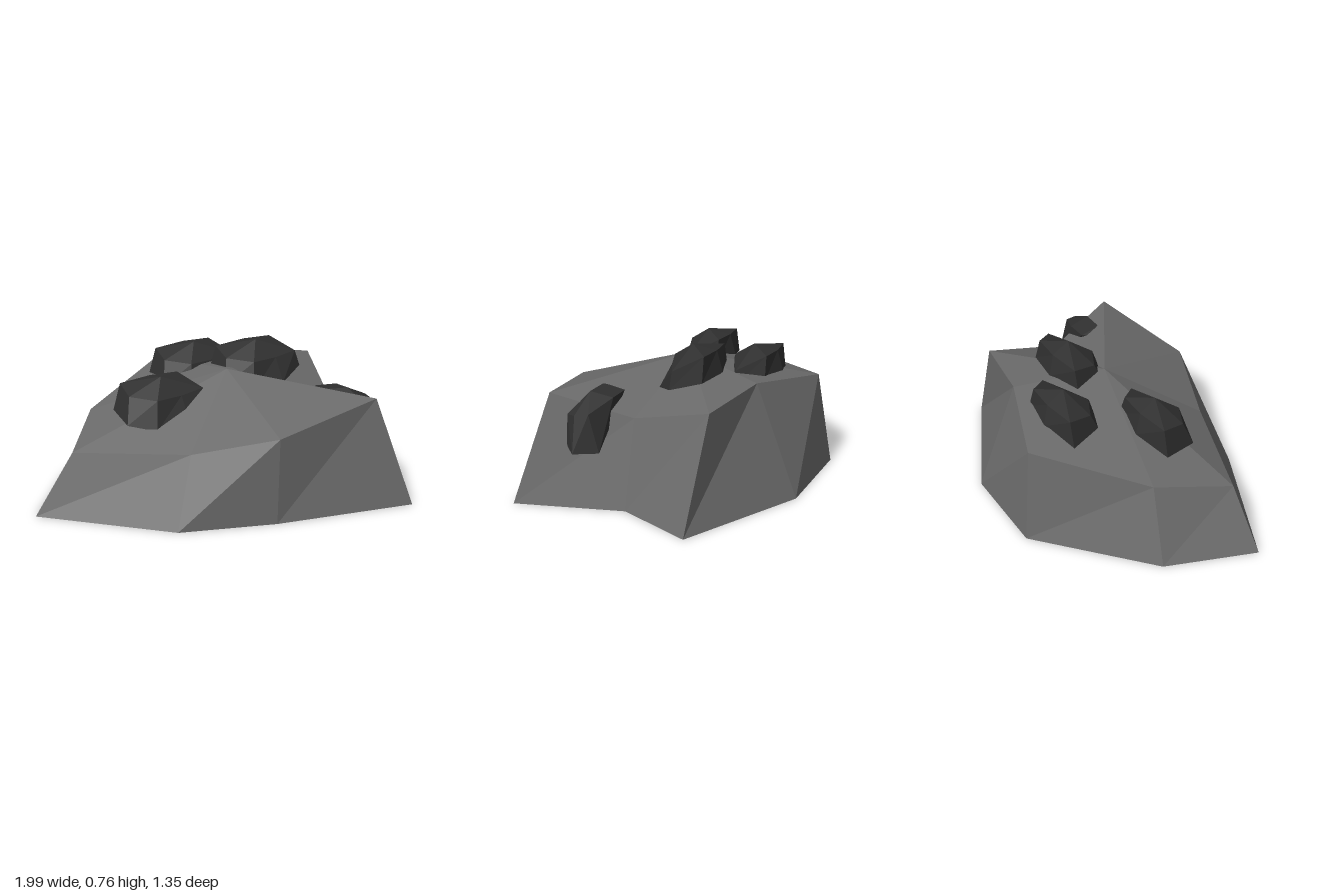
import * as THREE from 'three';
import { ConvexGeometry } from 'three/addons/geometries/ConvexGeometry.js';

const material = (color) => new THREE.MeshStandardMaterial({
  color, flatShading: true, roughness: 0.9, metalness: 0,
});

// Faceted stone: floor centre, lower ring, upper ring and peak, rings clockwise from above
function stoneGeometry(floor, lower, upper, peak) {
  const positions = [];
  const tri = (...corners) => corners.forEach((c) => positions.push(...c));
  lower.forEach((a, i) => {
    const j = (i + 1) % lower.length;
    const b = lower[j], c = upper[i], d = upper[j];
    tri(floor, a, b);
    tri(b, a, c);
    tri(b, c, d);
    tri(peak, d, c);
  });
  const geometry = new THREE.BufferGeometry();
  geometry.setAttribute('position', new THREE.Float32BufferAttribute(positions, 3));
  geometry.computeVertexNormals();
  return geometry;
}

function addMesh(group, name, geometry, mat) {
  const mesh = new THREE.Mesh(geometry, mat);
  mesh.name = name;
  group.add(mesh);
  return mesh;
}

export function createModel() {
  const model = new THREE.Group();
  model.name = 'rock';
  const rockMaterial = material(0x6a6a6a);
  const oreMaterial = material(0x303030);

  // Main boulder
  const foot = [
    [-1, 0.33], [-0.82, -0.16], [-0.26, -0.67], [0.27, -0.68], [0.92, -0.36],
    [0.8, 0.04], [0.99, 0.6], [0.22, 0.67], [-0.3, 0.66],
  ].map(([x, z]) => [x, 0, z]);
  const rim = [
    [-0.79, 0.33, 0.29], [-0.65, 0.405, -0.12], [-0.2, 0.525, -0.6],
    [0.26, 0.6, -0.44], [0.68, 0.575, -0.38], [0.67, 0.465, 0.05],
    [0.8, 0.575, 0.47], [0.23, 0.465, 0.65], [-0.2, 0.355, 0.5],
  ];
  addMesh(model, 'boulder', stoneGeometry([0, 0, 0], foot, rim, [0.09, 0.645, 0.04]), rockMaterial);

  // Ore lumps set into the top, each placed by its peak
  const lumpLower = [
    [-0.25, -0.2, -0.08], [-0.05, -0.15, -0.15], [0.15, -0.15, -0.13], [0.26, -0.17, 0],
    [0.13, -0.22, 0.13], [-0.05, -0.24, 0.18], [-0.2, -0.22, 0.12],
  ];
  const lumpUpper = [
    [-0.21, -0.05, -0.08], [-0.04, -0.03, -0.12], [0.11, -0.02, -0.12], [0.23, -0.08, 0],
    [0.1, -0.09, 0.07], [-0.04, -0.09, 0.13], [-0.18, -0.08, 0.06],
  ];
  const lump = stoneGeometry([0, -0.23, 0], lumpLower, lumpUpper, [0, 0, 0]);
  [[-0.29, 0.655, 0.12], [0.28, 0.765, -0.08], [-0.03, 0.705, -0.29]].forEach((p, i) => {
    addMesh(model, `oreLump${i + 1}`, lump, oreMaterial).position.set(...p);
  });

  // Ore lump breaking through the side edge
  const sideLump = [
    [0.53, 0.55, 0.24], [0.56, 0.56, 0.17], [0.68, 0.56, 0.165], [0.57, 0.58, 0.29],
    [0.7, 0.58, 0.29], [0.83, 0.51, 0.22], [0.85, 0.5, 0.29], [0.81, 0.48, 0.36],
    [0.9, 0.31, 0.28], [0.82, 0.31, 0.365], [0.83, 0.31, 0.165], [0.7, 0.31, 0.25],
  ].map((p) => new THREE.Vector3(...p));
  addMesh(model, 'sideOreLump', new ConvexGeometry(sideLump), oreMaterial);

  return model;
}
